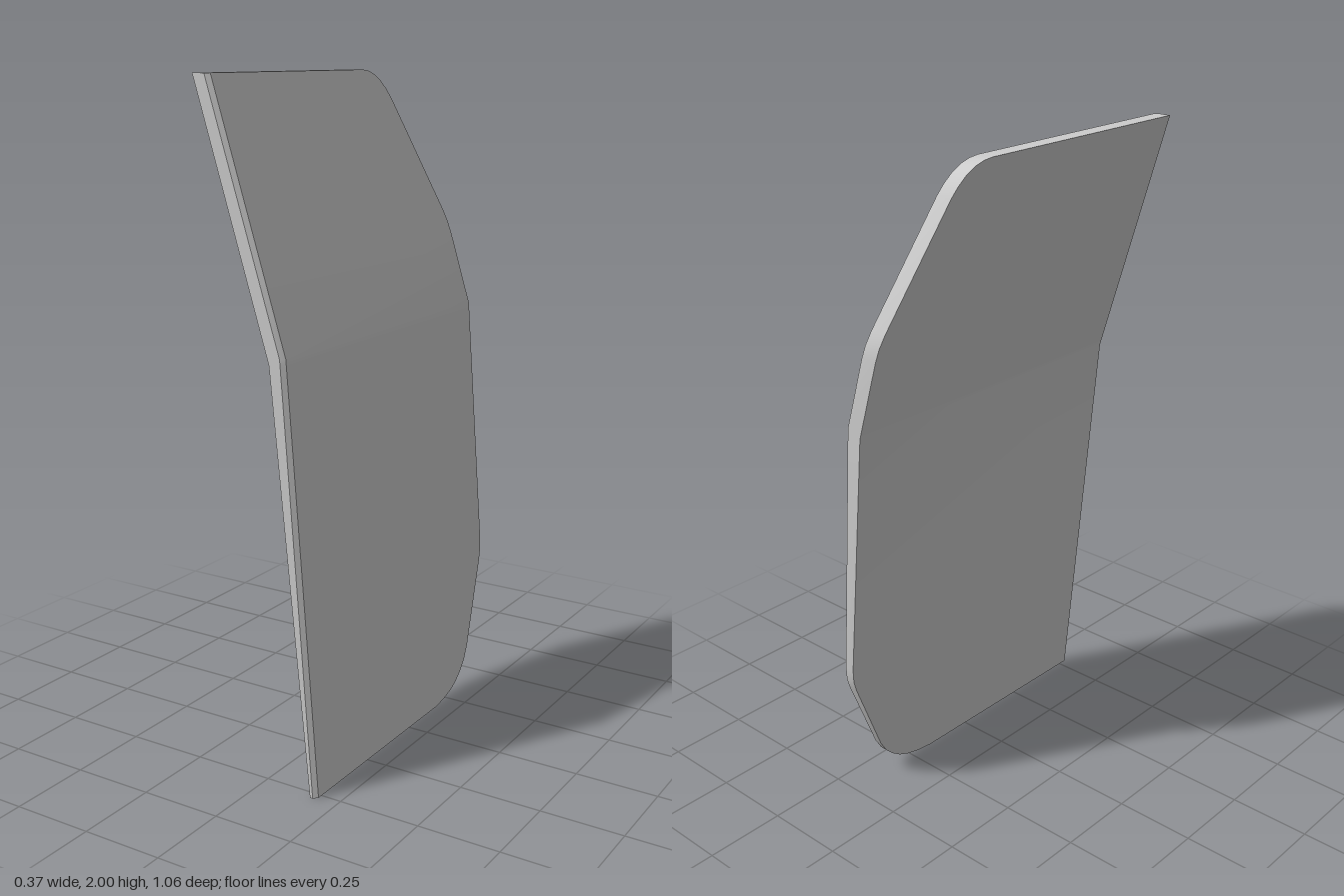
import * as THREE from 'three';
import { toCreasedNormals } from 'three/addons/utils/BufferGeometryUtils.js';

// piecewise linear lookup through [y, value] points
function sample(points, y) {
  for (let i = 1; i < points.length; i++) {
    const [y0, v0] = points[i - 1], [y1, v1] = points[i];
    if (y <= y1) return v0 + (v1 - v0) * (y - y0) / (y1 - y0);
  }
  return points[points.length - 1][1];
}

// bent faces as [y, x]
const INNER = [[0, 0.165], [1.24, 0.045], [2, -0.188]];
const OUTER = [[0, 0.186], [1.26, 0.092], [2, -0.137]];

// rounded, clipped rear edge as [y, z]
const REAR = [
  [0, -0.17], [0.006, -0.22], [0.018, -0.27], [0.035, -0.31], [0.06, -0.345], [0.09, -0.375], [0.13, -0.4],
  [0.39, -0.513], [0.425, -0.525], [0.47, -0.53],
  [1.48, -0.53], [1.52, -0.526], [1.56, -0.514],
  [1.91, -0.37], [1.94, -0.353], [1.965, -0.332], [1.985, -0.305], [1.996, -0.275], [2, -0.245],
];

const FRONT = 0.528, CHAMFER = 0.012;

// horizontal slice of the panel, with a chamfered outer front corner
function section(y) {
  const xi = sample(INNER, y), xo = sample(OUTER, y), zb = sample(REAR, y);
  return [[xi, FRONT], [xo - CHAMFER, FRONT], [xo, FRONT - CHAMFER], [xo, zb], [xi, zb]]
    .map(([x, z]) => [x, y, z]);
}

function panelGeometry() {
  const heights = [...REAR.map(p => p[0]), INNER[1][0], OUTER[1][0]].sort((a, b) => a - b);
  const rows = heights.map(section);
  const n = rows[0].length, index = [];
  // walls between neighbouring slices
  for (let r = 0; r < rows.length - 1; r++) {
    for (let i = 0; i < n; i++) {
      const j = (i + 1) % n, a = r * n, b = a + n;
      index.push(a + i, a + j, b + j, a + i, b + j, b + i);
    }
  }
  // bottom and top caps
  const top = (rows.length - 1) * n;
  for (let i = 1; i < n - 1; i++) {
    index.push(0, i + 1, i, top, top + i, top + i + 1);
  }
  const geometry = new THREE.BufferGeometry();
  geometry.setAttribute('position', new THREE.Float32BufferAttribute(rows.flat(2), 3));
  geometry.setIndex(index);
  return toCreasedNormals(geometry, Math.PI / 6);
}

export function createModel() {
  const group = new THREE.Group();
  const panel = new THREE.Mesh(panelGeometry(), new THREE.MeshStandardMaterial({ color: 0xcccccc }));
  panel.name = 'bentPanel';
  group.add(panel);
  return group;
}
